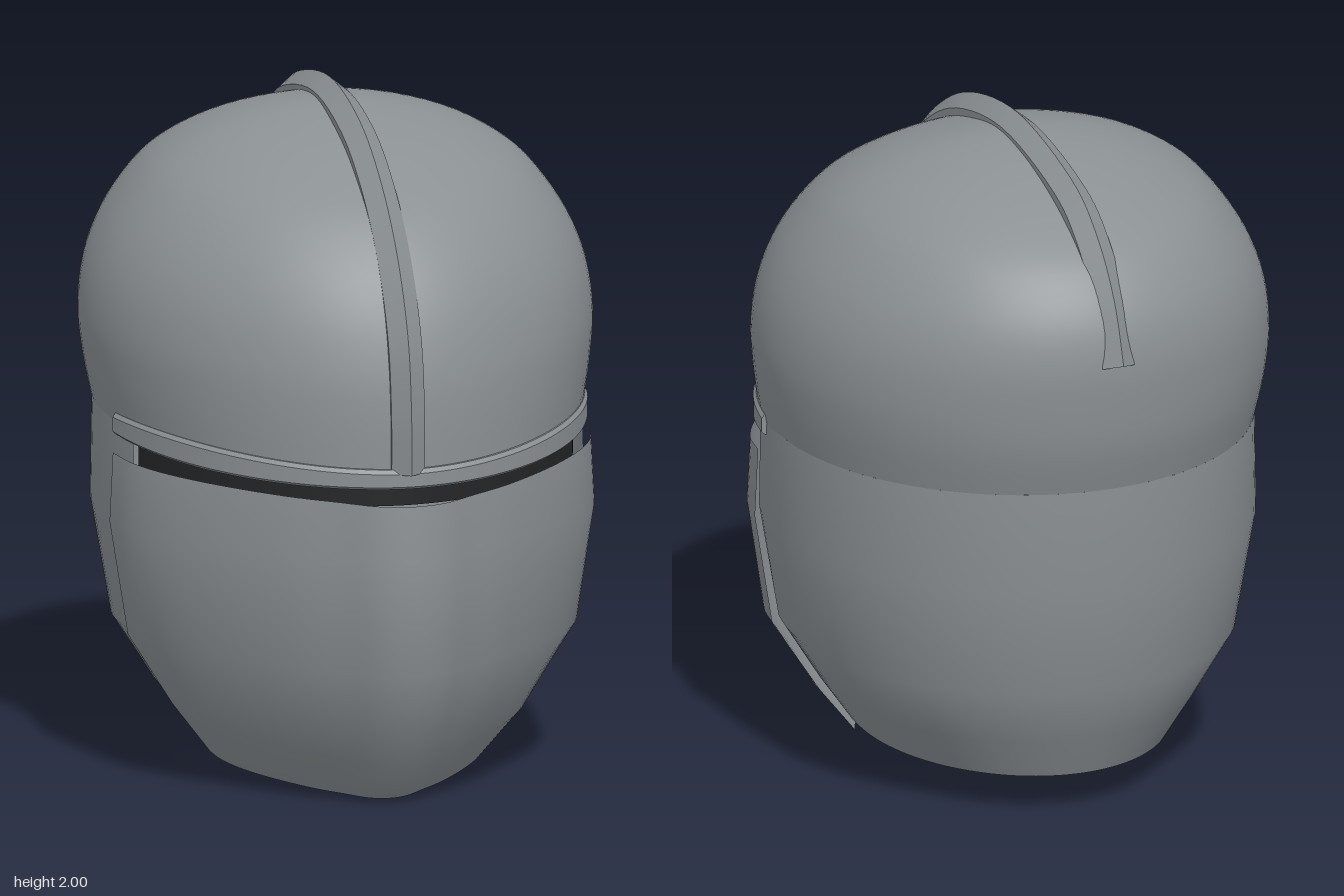
import * as THREE from 'three';
import { toCreasedNormals } from 'three/addons/utils/BufferGeometryUtils.js';

const steel = new THREE.MeshStandardMaterial({ color: 0x8b9093, side: THREE.DoubleSide });
steel.name = 'steel grey';
const dark = new THREE.MeshStandardMaterial({ color: 0x242526, side: THREE.DoubleSide });
dark.name = 'visor dark';

const lerp = THREE.MathUtils.lerp;
const pow = (v, e) => Math.sign(v) * Math.abs(v) ** e;

// Surface through rows of [x, y, z] points; wrap joins each row's ends
function loft(rows, wrap = false) {
  const n = rows[0].length, index = [];
  for (let r = 0; r < rows.length - 1; r++) {
    for (let c = 0; c < (wrap ? n : n - 1); c++) {
      const d = (c + 1) % n;
      const a = r * n + c, b = r * n + d, e = a + n, f = b + n;
      index.push(a, b, f, a, f, e);
    }
  }
  const g = new THREE.BufferGeometry();
  g.setAttribute('position', new THREE.Float32BufferAttribute(rows.flat(2), 3));
  g.setIndex(index);
  g.computeVertexNormals();
  return g;
}

// Solid bar from closed sections, with both ends capped
function bar(sections) {
  const cap = s => {
    const m = [0, 1, 2].map(k => s.reduce((t, p) => t + p[k], 0) / s.length);
    return s.map(() => m);
  };
  return toCreasedNormals(loft([cap(sections[0]), ...sections, cap(sections.at(-1))], true), 0.5);
}

// Egg-shaped plan: angle 0 = rear, PI = front, positive = left
function egg(a, w, zf, zb, zc) {
  const c = -Math.cos(a), s = Math.sin(a);
  return c > 0
    ? [w * pow(s, 1.07), zc + (zf - zc) * c ** 1.03]
    : [w * s, zc + (zc - zb) * c];
}

function domeGeometry() {
  // y, half width, front z, rear z
  const profile = [
    [1.07, 0.71, 0.81, -0.80], [1.2, 0.735, 0.805, -0.835], [1.33, 0.747, 0.785, -0.85],
    [1.47, 0.73, 0.74, -0.852], [1.6, 0.68, 0.665, -0.82], [1.72, 0.60, 0.55, -0.74],
    [1.8, 0.52, 0.42, -0.63], [1.87, 0.40, 0.27, -0.48], [1.92, 0.25, 0.10, -0.32],
    [1.945, 0.10, -0.02, -0.18], [1.95, 0, -0.10, -0.10],
  ];
  const yw = new THREE.SplineCurve(profile.map(p => new THREE.Vector2(p[0], p[1])));
  const zz = new THREE.SplineCurve(profile.map(p => new THREE.Vector2(p[2], p[3])));
  const rows = [];
  for (let i = 0; i <= 40; i++) {
    const t = i / 40, p = yw.getPoint(t), q = zz.getPoint(t), row = [];
    for (let j = 0; j < 96; j++) {
      const a = j / 96 * Math.PI * 2;
      const [x, z] = egg(a, p.x < 1.9499 ? p.y : 0, q.x, q.y, lerp(-0.03, -0.1, t));
      // The rim dips towards the brow
      const dip = 0.06 * Math.max(0, -Math.cos(a)) * Math.max(0, 1 - t * 8);
      row.push([x, p.x - dip, z]);
    }
    rows.push(row);
  }
  return loft(rows, true);
}

function neckGeometry() {
  // y, half width, rear z, front edge z
  const profile = [
    [1.07, 0.71, -0.80, 0.23], [0.77, 0.715, -0.80, 0.23], [0.43, 0.655, -0.75, 0.2],
    [0.25, 0.54, -0.665, 0.13], [0.12, 0.45, -0.60, 0.07],
  ];
  return loft(profile.map(([y, w, zb, edge]) => {
    const reach = Math.PI / 2 + Math.asin((edge + 0.03) / 0.84);
    return Array.from({ length: 65 }, (_, j) => {
      const [x, z] = egg((j / 32 - 1) * reach, w, 0.81, zb, -0.03);
      return [x, y, z];
    });
  }));
}

function facePlateGeometry() {
  // Half plan from nose to cheek, as fractions of width and depth
  const half = [[0, 1], [0.14, 0.97], [0.28, 0.88], [0.47, 0.75], [0.69, 0.55], [0.86, 0.35], [0.96, 0.17], [1, 0]];
  const mirrored = half.slice(1).reverse().map(([x, z]) => [-x, z]);
  const plan = new THREE.SplineCurve([...mirrored, ...half].map(p => new THREE.Vector2(...p))).getPoints(70);
  // nose y, cheek y, half width, front z, rear z
  const profile = [
    [0.935, 0.975, 0.715, 0.88, 0.14], [0.77, 0.77, 0.725, 0.893, 0.14], [0.43, 0.43, 0.67, 0.90, 0.14],
    [0.13, 0.21, 0.53, 0.73, 0.115], [0, 0.055, 0.41, 0.58, 0.09],
  ];
  return loft(profile.map(([yf, ys, w, zf, zb]) =>
    plan.map(p => [w * p.x, lerp(ys, yf, p.y), lerp(zb, zf, p.y)])));
}

// Front arc of the helmet plan between two cheeks at z = start
function frontArc(w, zf, start, fn) {
  const reach = Math.acos((start + 0.03) / (zf + 0.03));
  return Array.from({ length: 61 }, (_, j) =>
    fn(...egg(Math.PI + (j / 30 - 1) * reach, w, zf, -0.8, -0.03)));
}

function browGeometry() {
  return bar(frontArc(0.725, 0.83, 0.13, (x, z) => {
    const f = (z - 0.13) / 0.7;
    const top = 1.088 - 0.055 * f * f, low = 1.025 - 0.05 * f;
    const k = 0.95, m = 0.988;
    return [[x * k, top, z * k], [x * m, top, z * m], [x, top - 0.012, z],
      [x, low + 0.008, z], [x * m, low, z * m], [x * k, low, z * k]];
  }));
}

function crestGeometry() {
  // Crest line in the centre plane: z, y
  const path = new THREE.SplineCurve([
    [0.853, 1.02], [0.85, 1.21], [0.81, 1.42], [0.69, 1.63], [0.5, 1.81], [0.24, 1.945],
    [-0.115, 2], [-0.5, 1.93], [-0.69, 1.82], [-0.82, 1.66], [-0.89, 1.48],
  ].map(p => new THREE.Vector2(...p)));
  const section = [[0, 0], [0.05, -0.04], [0.05, -0.07], [-0.05, -0.07], [-0.05, -0.04]];
  return bar(Array.from({ length: 61 }, (_, i) => {
    const p = path.getPoint(i / 60), t = path.getTangent(i / 60);
    // Outward normal of the path
    return section.map(([x, d]) => [x, p.y - t.x * d, p.x + t.y * d]);
  }));
}

function slitGeometry() {
  const rowAt = y => frontArc(0.685, 0.745, 0.2, (x, z) => [x, y, z]);
  return loft([rowAt(1.04), rowAt(0.91)]);
}

export function createModel() {
  const helmet = new THREE.Group();
  helmet.name = 'helmet';
  const add = (name, geometry, material = steel) => {
    const mesh = new THREE.Mesh(geometry, material);
    mesh.name = name;
    helmet.add(mesh);
  };
  add('skullDome', domeGeometry());
  add('neckGuard', neckGeometry());
  add('facePlate', facePlateGeometry());
  add('browBand', browGeometry());
  add('crestRidge', crestGeometry());
  add('eyeSlit', slitGeometry(), dark);
  return helmet;
}
